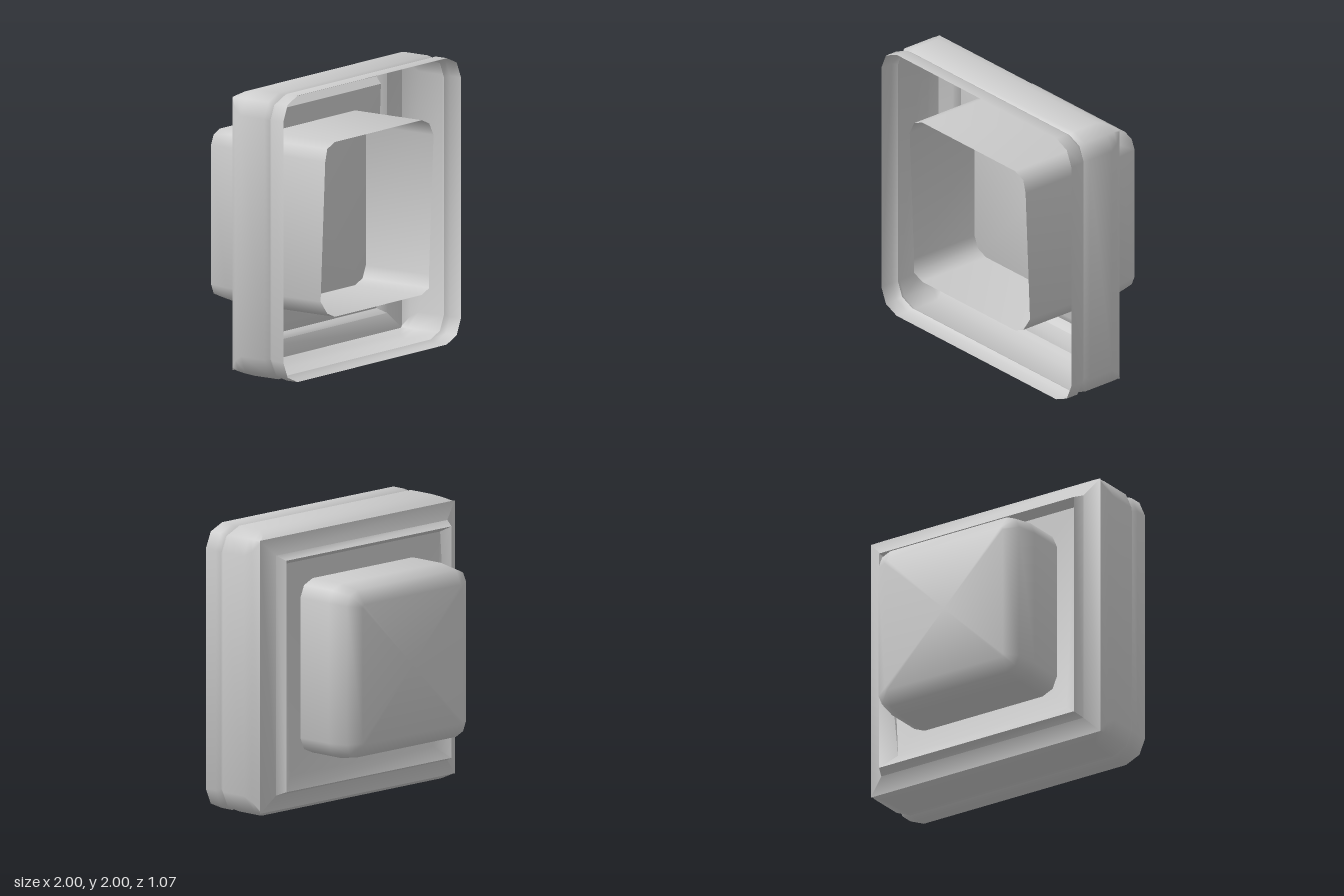
import * as THREE from 'three';
import { toCreasedNormals } from 'three/addons/utils/BufferGeometryUtils.js';

const CENTRE_Y = 1;

// Square ring with half size h; c is the corner cut (0 gives four sharp corners).
function ring(h, c, z) {
  const points = [];
  const corner = c > 0 ? [[h, h - c], [h - c * 0.3, h - c * 0.3], [h - c, h]] : [[h, h]];
  for (let q = 0; q < 4; q++) {
    for (const [x, y] of corner) {
      const p = new THREE.Vector3(x, y, z);
      p.applyAxisAngle(new THREE.Vector3(0, 0, 1), q * Math.PI / 2);
      points.push(p);
    }
  }
  return points;
}

// Skin over rings listed from front to back, optionally closed at the back.
function loft(rings, closed, crease) {
  const pos = [];
  const tri = (...pts) => pts.forEach(p => pos.push(p.x, p.y, p.z));
  const n = rings[0].length;
  for (let i = 0; i < rings.length - 1; i++) {
    for (let j = 0; j < n; j++) {
      const k = (j + 1) % n, a = rings[i], b = rings[i + 1];
      tri(a[j], b[j], a[k]);
      tri(a[k], b[j], b[k]);
    }
  }
  if (closed) {
    const last = rings[rings.length - 1];
    const mid = new THREE.Vector3();
    last.forEach(p => mid.addScaledVector(p, 1 / n));
    for (let j = 0; j < n; j++) tri(last[j], mid, last[(j + 1) % n]);
  }
  const geometry = new THREE.BufferGeometry();
  geometry.setAttribute('position', new THREE.Float32BufferAttribute(pos, 3));
  return toCreasedNormals(geometry, THREE.MathUtils.degToRad(crease));
}

export function createModel() {
  const group = new THREE.Group();
  const material = new THREE.MeshStandardMaterial({ color: 0xcccccc, side: THREE.DoubleSide });
  const add = (name, geometry, x, y) => {
    const mesh = new THREE.Mesh(geometry, material);
    mesh.name = name;
    mesh.position.set(x, y, 0);
    group.add(mesh);
  };

  // Outer housing: open front, small groove around the side, rounded back edge
  add('housing', loft([
    ring(1, 0.16, 0.465),
    ring(1, 0.16, 0.37),
    ring(0.978, 0.15, 0.335),
    ring(1, 0.16, 0.3),
    ring(1, 0.16, 0.1),
    ring(0.985, 0.11, 0.04),
    ring(0.955, 0.02, -0.01),
  ], false, 60), 0, CENTRE_Y);

  // Back bezel: sloped border, raised rim, and a recessed plate narrower at the bottom
  const plateEdge = [[0.77, 0.77], [-0.77, 0.77], [-0.7, -0.72], [0.7, -0.72]]
    .map(([x, y]) => new THREE.Vector3(x, y, -0.05));
  add('bezel', loft([
    ring(0.955, 0, -0.01),
    ring(0.84, 0, -0.05),
    ring(0.81, 0, -0.12),
    plateEdge,
  ], true, 60), 0, CENTRE_Y);

  // Push button: a hollow rounded block through the plate, with an uneven front lip
  const lip = ring(0.61, 0.12, 0.525);
  for (const p of lip) if (Math.abs(p.y) < 0.5) p.z = p.y > 0 ? 0.535 : 0.495;
  add('button', loft([
    lip,
    ring(0.61, 0.12, -0.32),
    ring(0.585, 0.1, -0.47),
    ring(0.49, 0.02, -0.53),
  ], true, 65), -0.01, CENTRE_Y + 0.02);

  return group;
}
